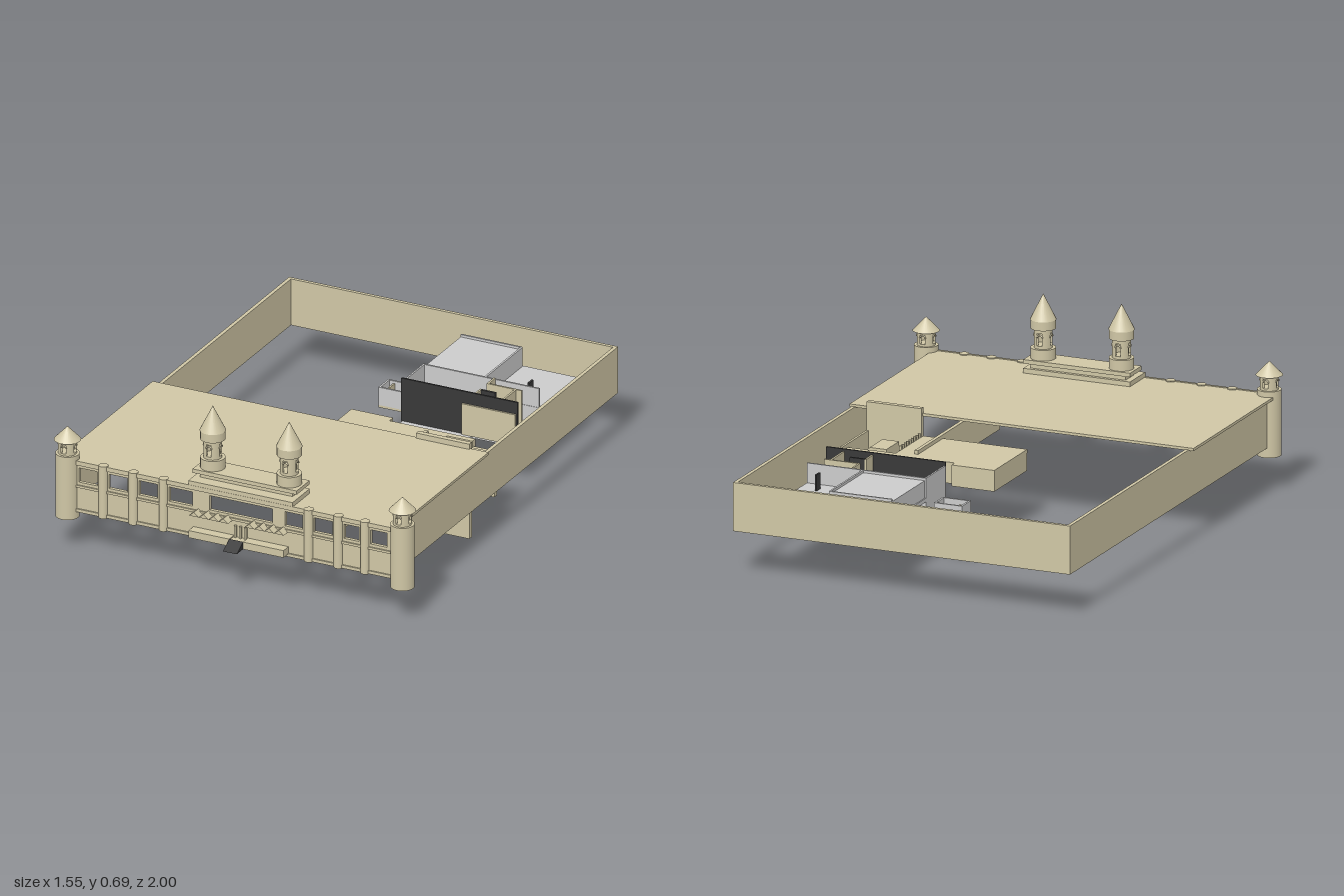
import * as THREE from 'three';

const stone = new THREE.MeshStandardMaterial({ color: 0xcfc6a5, side: THREE.DoubleSide });
const grey = new THREE.MeshStandardMaterial({ color: 0xcccccc, side: THREE.DoubleSide });
const dark = new THREE.MeshStandardMaterial({ color: 0x383838, side: THREE.DoubleSide });

function add(parent, name, geo, mat = stone) {
  const mesh = new THREE.Mesh(geo, mat);
  mesh.name = name;
  parent.add(mesh);
  return mesh;
}

// box given by its limits on each axis
function box(parent, name, [x0, x1], [y0, y1], [z0, z1], mat = stone) {
  const m = add(parent, name, new THREE.BoxGeometry(x1 - x0, y1 - y0, z1 - z0), mat);
  m.position.set((x0 + x1) / 2, (y0 + y1) / 2, (z0 + z1) / 2);
  return m;
}

function drum(parent, name, r, y0, y1, rTop = r) {
  const m = add(parent, name, new THREE.CylinderGeometry(rTop, r, y1 - y0, 24));
  m.position.y = (y0 + y1) / 2;
  return m;
}

// open lantern: four curved piers between a sill and an arched head
function lantern(parent, r, y0, y1) {
  const h = y1 - y0, open = 0.6;
  drum(parent, 'lanternSill', r, y0, y0 + h * 0.15);
  drum(parent, 'lanternHead', r, y1 - h * 0.2, y1);
  for (let i = 0; i < 4; i++) {
    const start = i * Math.PI / 2 + open / 2;
    for (const rad of [r, r * 0.8]) {
      const pier = add(parent, 'lanternPier', new THREE.CylinderGeometry(rad, rad, h, 6, 1, true, start, Math.PI / 2 - open));
      pier.position.y = (y0 + y1) / 2;
    }
    // arch over each opening
    const arch = add(parent, 'lanternArch', new THREE.TorusGeometry(r * 0.3, r * 0.1, 6, 12, Math.PI));
    const a = i * Math.PI / 2;
    arch.position.set(Math.sin(a) * r * 0.95, y1 - h * 0.42, Math.cos(a) * r * 0.95);
    arch.rotation.y = a;
  }
}

function cornerTower(x) {
  const g = new THREE.Group();
  g.name = 'cornerTower';
  drum(g, 'towerShaft', 0.047, 0.135, 0.4);
  lantern(g, 0.036, 0.4, 0.457);
  drum(g, 'towerRoof', 0.053, 0.457, 0.512, 0);
  g.position.set(x, 0, 0.895);
  return g;
}

function roofTurret(x) {
  const g = new THREE.Group();
  g.name = 'roofTurret';
  drum(g, 'turretBase', 0.049, 0.43, 0.475);
  lantern(g, 0.036, 0.475, 0.552);
  drum(g, 'turretCollar', 0.049, 0.552, 0.588);
  drum(g, 'turretSpire', 0.051, 0.588, 0.69, 0);
  g.position.set(x, 0, 0.82);
  return g;
}

function extrude(points, holes, depth) {
  const shape = new THREE.Shape(points.map(p => new THREE.Vector2(...p)));
  for (const [x0, x1, y0, y1] of holes)
    shape.holes.push(new THREE.Path([[x0, y0], [x0, y1], [x1, y1], [x1, y0]].map(p => new THREE.Vector2(...p))));
  return new THREE.ExtrudeGeometry(shape, { depth, bevelEnabled: false });
}

function facade() {
  const g = new THREE.Group();
  g.name = 'facade';
  const bays = [[-0.67, -0.59], [-0.54, -0.46], [-0.41, -0.33], [-0.28, -0.18], [-0.105, 0.165],
    [0.22, 0.295], [0.345, 0.425], [0.475, 0.54], [0.59, 0.66]];
  const holes = bays.map(([a, b]) => [a, b, 0.29, 0.35]);
  const wall = add(g, 'frontWall', extrude([[-0.735, 0.165], [0.7, 0.165], [0.7, 0.375], [-0.735, 0.375]], holes, 0.015));
  wall.position.z = 0.89;
  // mouldings and engaged columns
  for (const [y0, y1] of [[0.165, 0.178], [0.268, 0.278], [0.362, 0.38]])
    box(g, 'moulding', [-0.735, 0.7], [y0, y1], [0.9, 0.911]);
  for (const x of [-0.565, -0.435, -0.305, 0.322, 0.45, 0.565]) {
    const c = drum(g, 'engagedColumn', 0.019, 0.163, 0.382);
    c.position.x = x;
    c.position.z = 0.902;
  }
  // entrance ledge, door piers and ramp
  box(g, 'entranceLedge', [-0.175, 0], [0.175, 0.205], [0.9, 0.947]);
  box(g, 'entranceLedge', [0.06, 0.235], [0.175, 0.205], [0.9, 0.947]);
  box(g, 'entranceStep', [0, 0.06], [0.175, 0.2], [0.9, 0.947]);
  for (const x of [0.004, 0.026, 0.048]) box(g, 'doorPier', [x, x + 0.009], [0.2, 0.25], [0.9, 0.915]);
  const ramp = add(g, 'ramp', extrude([[-1, 0.175], [-0.945, 0.175], [-0.945, 0.205]], [], 0.06), dark);
  ramp.rotation.y = Math.PI / 2;
  // zigzag canopies on either side of the door
  for (const x0 of [-0.175, 0.065]) {
    const pts = [[0, 0.268]];
    for (let i = 0; i < 4; i++) pts.push([i * 0.0425 + 0.021, 0.285], [(i + 1) * 0.0425, 0.268]);
    const canopy = add(g, 'canopy', extrude(pts, [], 0.04));
    canopy.position.set(x0, 0, 0.905);
  }
  return g;
}

function terrace() {
  const g = new THREE.Group();
  g.name = 'terrace';
  const deck = [0.27, 0.285];
  box(g, 'deck', [-0.05, 0.13], deck, [-0.185, 0.125]);
  box(g, 'deck', [0.13, 0.39], deck, [-0.13, 0.125]);
  box(g, 'terraceWall', [-0.05, 0.13], [0.2, 0.285], [-0.185, -0.175]);
  box(g, 'terraceWall', [-0.05, -0.04], [0.2, 0.285], [-0.185, 0.12]);
  box(g, 'terraceWall', [0.13, 0.5], [0.2, 0.285], [-0.155, -0.13]);
  box(g, 'terraceFloor', [0.31, 0.62], [0.175, 0.19], [-0.11, 0.115]);
  box(g, 'sideWall', [0.61, 0.62], [0.175, 0.285], [-0.14, 0.115]);
  box(g, 'backLedge', [0.47, 0.62], [0.2, 0.26], [-0.14, -0.115]);
  box(g, 'spineWall', [0.305, 0.32], [0.175, 0.3], [-0.11, 0.66]);
  // tall end panel and shorter hanging panel
  box(g, 'tallPanel', [0.387, 0.617], [0, 0.4], [0.103, 0.125]);
  box(g, 'hangingPanel', [0.39, 0.617], [0.09, 0.27], [-0.107, -0.087]);
  for (let i = 0; i < 9; i++) {
    const z = -0.08 + i * 0.022;
    box(g, 'baluster', [0.388, 0.398], [0.19, 0.3], [z, z + 0.008]);
  }
  const bench = add(g, 'gabledBlock', extrude([[0, 0], [0.1, 0], [0.1, 0.05], [0.07, 0.075], [0, 0.075]], [], 0.12));
  bench.position.set(0.47, 0.19, -0.04);
  return g;
}

function rearRooms() {
  const g = new THREE.Group();
  g.name = 'rearRooms';
  // rear half: slab with a raised box beside it
  box(g, 'rearSlab', [0.065, 0.567], [0.25, 0.265], [-0.88, -0.56], grey);
  box(g, 'rearBox', [0.07, 0.33], [0.265, 0.335], [-0.875, -0.57], grey);
  box(g, 'boxRim', [0.328, 0.336], [0.265, 0.345], [-0.875, -0.57], grey);
  box(g, 'boxRim', [0.07, 0.33], [0.265, 0.345], [-0.88, -0.872], grey);
  box(g, 'post', [0.487, 0.495], [0.265, 0.33], [-0.655, -0.62], dark);
  // front half: floor, outer walls and partitions
  box(g, 'frontFloor', [0.065, 0.567], [0.17, 0.18], [-0.565, -0.38], grey);
  box(g, 'frontFloor', [0.07, 0.37], [0.17, 0.18], [-0.38, -0.32], grey);
  box(g, 'darkWall', [0.065, 0.567], [0.18, 0.36], [-0.388, -0.38], dark);
  box(g, 'darkWallLining', [0.33, 0.56], [0.18, 0.31], [-0.38, -0.372]);
  box(g, 'backPartition', [0.065, 0.567], [0.18, 0.345], [-0.57, -0.562], grey);
  box(g, 'endWall', [0.065, 0.072], [0.18, 0.345], [-0.565, -0.385], grey);
  box(g, 'partition', [0.37, 0.378], [0.18, 0.35], [-0.565, -0.505]);
  box(g, 'partition', [0.37, 0.52], [0.18, 0.35], [-0.512, -0.504]);
  box(g, 'partition', [0.49, 0.498], [0.18, 0.35], [-0.51, -0.385]);
  box(g, 'partition', [0.37, 0.378], [0.18, 0.35], [-0.45, -0.385]);
  box(g, 'counter', [0.375, 0.44], [0.18, 0.35], [-0.45, -0.44], dark);
  return g;
}

function smallHut() {
  const g = new THREE.Group();
  g.name = 'smallHut';
  const [x0, x1, z0, z1] = [-0.085, 0.033, -0.565, -0.48];
  box(g, 'hutFloor', [x0, x1], [0.165, 0.175], [z0, z1]);
  for (const z of [z0, z1 - 0.008]) box(g, 'hutWall', [x0, x1], [0.165, 0.25], [z, z + 0.008], grey);
  for (const x of [x0, x1 - 0.008]) box(g, 'hutWall', [x, x + 0.008], [0.165, 0.25], [z0, z1], grey);
  box(g, 'hutPartition', [-0.06, -0.053], [0.175, 0.24], [-0.56, -0.515]);
  box(g, 'hutTable', [-0.07, -0.03], [0.175, 0.2], [-0.508, -0.492], dark);
  return g;
}

export function createModel() {
  const root = new THREE.Group();
  root.name = 'castleHall';

  // perimeter wall and flat roof
  const wallY = [0.175, 0.37];
  box(root, 'leftWall', [0.67, 0.685], wallY, [-1, 0.9]);
  box(root, 'rightWall', [-0.735, -0.72], wallY, [-1, 0.9]);
  box(root, 'backWall', [-0.735, 0.685], wallY, [-1, -0.985]);
  box(root, 'roof', [-0.755, 0.695], [0.367, 0.378], [0.115, 0.91]);

  root.add(facade(), terrace(), rearRooms(), smallHut());

  // stepped plinth with its two turrets
  box(root, 'plinthBase', [-0.195, 0.255], [0.377, 0.397], [0.765, 0.91]);
  box(root, 'plinthMiddle', [-0.17, 0.23], [0.397, 0.416], [0.78, 0.86]);
  box(root, 'plinthTop', [-0.195, 0.255], [0.416, 0.432], [0.765, 0.875]);
  root.add(roofTurret(-0.135), roofTurret(0.195));
  root.add(cornerTower(-0.724), cornerTower(0.722));
  return root;
}
